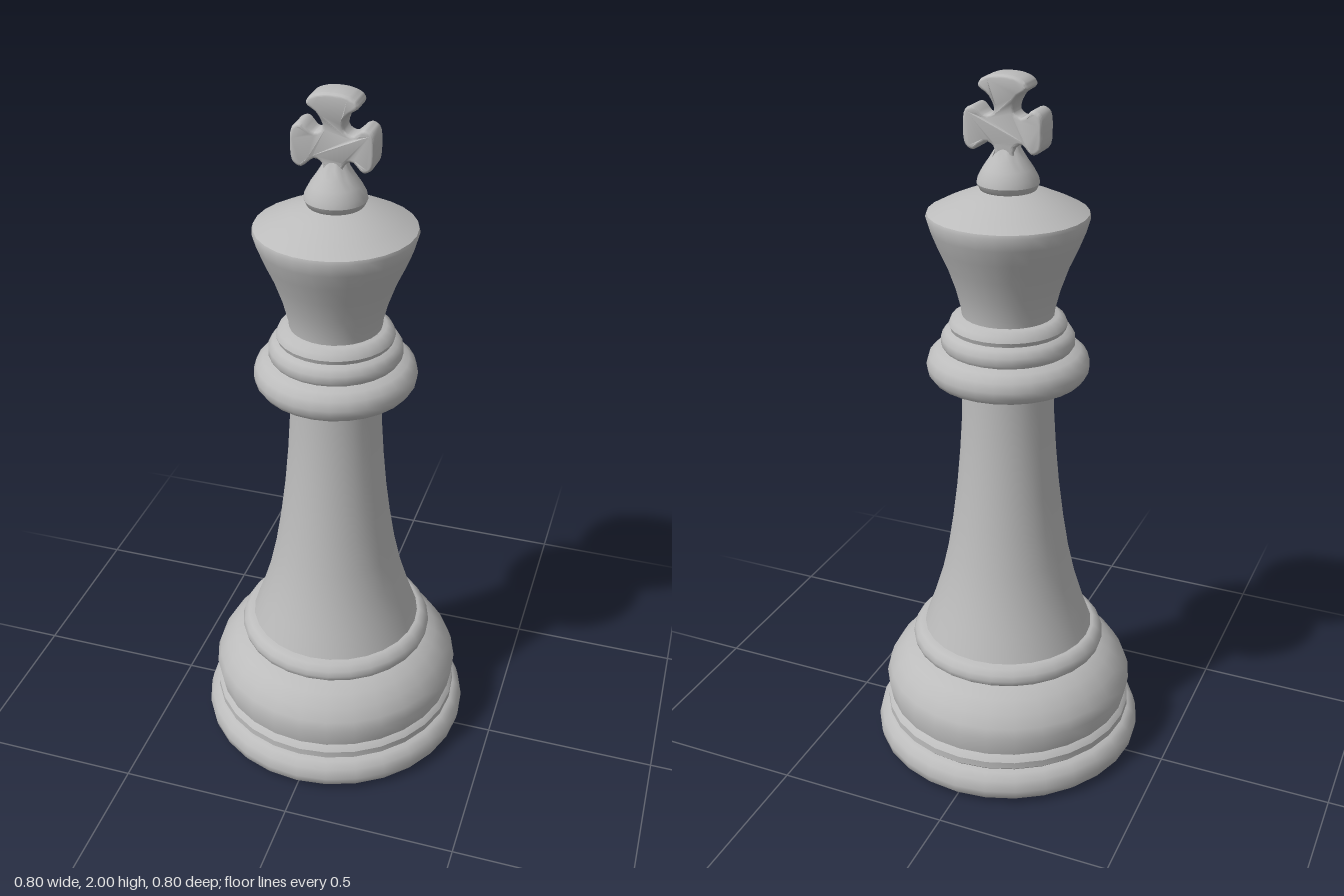
import * as THREE from 'three';
import { toCreasedNormals } from 'three/addons/utils/BufferGeometryUtils.js';

const SIDES = 28;

export function createModel() {
  const model = new THREE.Group();
  model.name = 'chessKing';
  const grey = new THREE.MeshStandardMaterial({ color: 0xbcbcbc });
  grey.name = 'grey';

  function add(name, geometry) {
    const mesh = new THREE.Mesh(toCreasedNormals(geometry, 0.65), grey);
    mesh.name = name;
    model.add(mesh);
    return mesh;
  }

  // Turned part from [radius, height] pairs, bottom to top
  function turned(name, profile) {
    const points = profile.map(([r, y]) => new THREE.Vector2(r, y));
    return add(name, new THREE.LatheGeometry(points, SIDES));
  }

  // Foot with its stepped rings and domed shoulder
  turned('base', [
    [0, 0.003], [0.36, 0], [0.38, 0.008], [0.394, 0.022], [0.398, 0.045],
    [0.39, 0.075], [0.372, 0.092], [0.358, 0.096], [0.367, 0.105],
    [0.367, 0.125], [0.355, 0.14], [0.342, 0.146], [0.358, 0.148],
    [0.368, 0.205], [0.358, 0.235], [0.337, 0.27], [0.307, 0.3],
    [0.265, 0.325], [0.2, 0.335],
  ]);
  turned('baseRing', [
    [0.24, 0.322], [0.27, 0.322], [0.28, 0.33], [0.284, 0.345],
    [0.279, 0.36], [0.267, 0.375], [0.255, 0.381], [0.2, 0.383],
  ]);

  // Flared column
  turned('shaft', [
    [0.252, 0.37], [0.247, 0.385], [0.222, 0.455], [0.196, 0.54], [0.176, 0.63],
    [0.16, 0.73], [0.146, 0.84], [0.136, 0.95], [0.129, 1.06], [0.127, 1.18],
  ]);

  // Stacked collar under the head
  turned('collar', [
    [0.11, 1.17], [0.19, 1.17], [0.21, 1.178], [0.222, 1.195], [0.225, 1.215],
    [0.218, 1.24], [0.2, 1.257], [0.178, 1.265], [0.184, 1.275],
    [0.183, 1.295], [0.172, 1.312], [0.158, 1.318], [0.162, 1.33],
    [0.155, 1.346], [0.138, 1.357], [0.1, 1.36],
  ]);

  // Head with a shallow conical top
  turned('head', [
    [0.125, 1.345], [0.128, 1.375], [0.142, 1.43], [0.165, 1.495], [0.19, 1.55],
    [0.208, 1.595], [0.218, 1.63], [0.215, 1.64], [0.175, 1.661],
    [0.12, 1.685], [0.06, 1.705], [0, 1.71],
  ]);
  turned('finial', [
    [0.06, 1.69], [0.075, 1.702], [0.083, 1.718], [0.08, 1.733], [0.067, 1.757],
    [0.05, 1.782], [0.037, 1.803], [0.028, 1.82], [0, 1.825],
  ]);

  // Cross: one half of the outline, mirrored and smoothed
  const half = [
    [0.034, -0.1], [0.027, -0.05], [0.05, -0.036], [0.082, -0.058],
    [0.104, -0.046], [0.11, 0], [0.104, 0.044], [0.082, 0.055],
    [0.05, 0.032], [0.028, 0.045], [0.038, 0.083], [0.067, 0.106],
    [0.06, 0.123], [0.032, 0.135],
  ];
  const outline = [
    ...half, [0, 0.138], ...half.map(([x, y]) => [-x, y]).reverse(),
  ].map(([x, y]) => new THREE.Vector3(x, y, 0));
  const curve = new THREE.CatmullRomCurve3(outline, true);
  const loop = curve.getPoints(96).slice(0, -1).map((p) => new THREE.Vector2(p.x, p.y));
  const crossGeometry = new THREE.ExtrudeGeometry(new THREE.Shape(loop), {
    depth: 0.06, bevelEnabled: true, bevelThickness: 0.01, bevelSize: 0.008,
    bevelOffset: -0.008, bevelSegments: 3, steps: 1,
  });
  crossGeometry.translate(0, 0, -0.03);

  // Thicken the cross towards the ends of its arms
  const position = crossGeometry.attributes.position;
  for (let i = 0; i < position.count; i++) {
    const x = position.getX(i), y = position.getY(i);
    const flare = y > -0.07 ? THREE.MathUtils.smoothstep(Math.hypot(x, y), 0.05, 0.095) : 0;
    position.setZ(i, position.getZ(i) * (0.75 + 0.28 * flare));
  }
  const cross = add('cross', crossGeometry);
  cross.position.set(0, 1.862, -0.003);

  return model;
}
